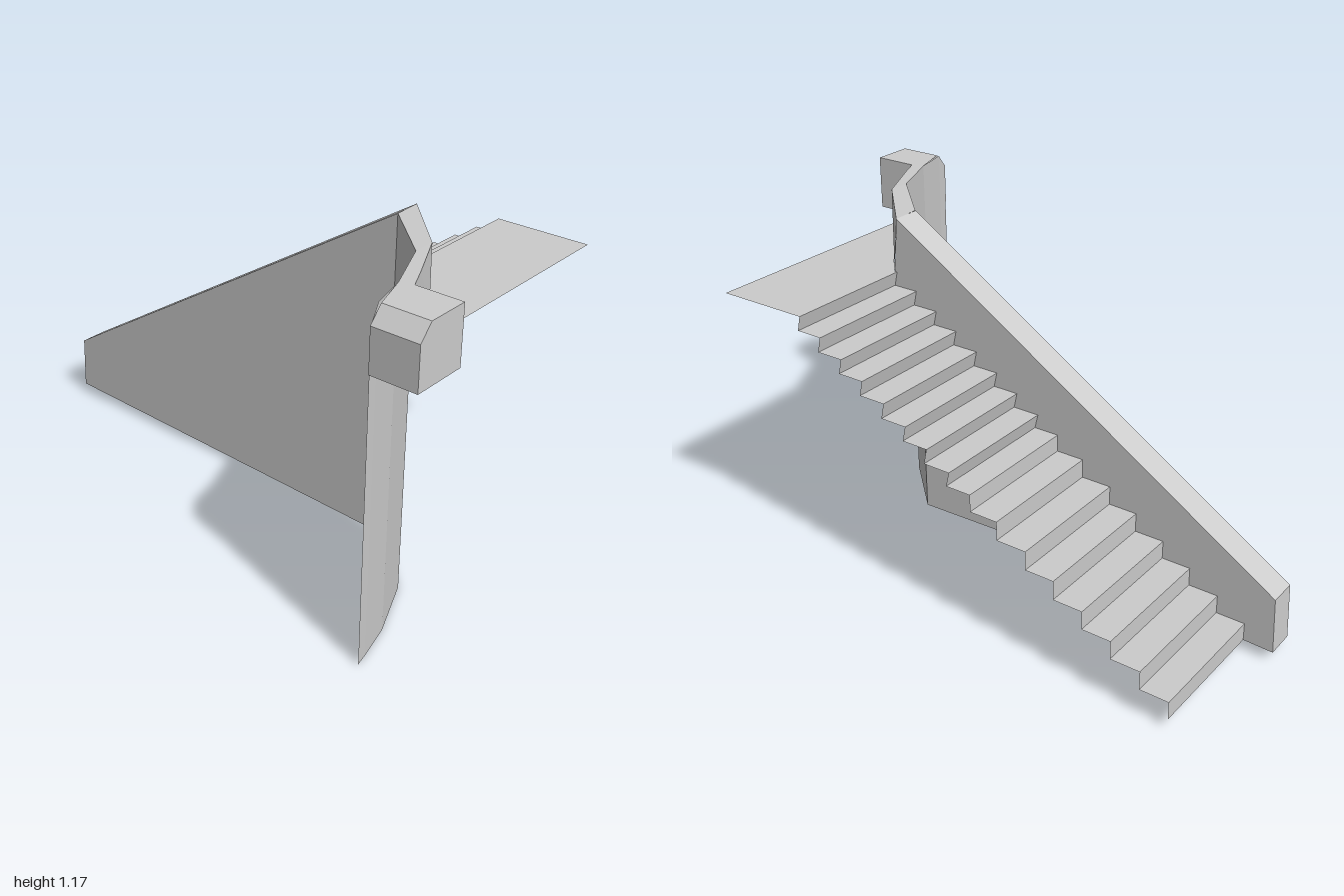
import * as THREE from 'three';

const material = new THREE.MeshStandardMaterial({
  color: 0xcccccc, flatShading: true, side: THREE.DoubleSide,
});

// Thin faceted surface between two rails of [x, y, z] points
function ribbon(name, a, b) {
  const pos = [];
  for (let i = 0; i < a.length - 1; i++) {
    pos.push(...a[i], ...b[i], ...b[i + 1], ...a[i], ...b[i + 1], ...a[i + 1]);
  }
  const geo = new THREE.BufferGeometry();
  geo.setAttribute('position', new THREE.Float32BufferAttribute(pos, 3));
  geo.computeVertexNormals();
  return named(name, geo);
}

function named(name, geo) {
  const mesh = new THREE.Mesh(geo, material);
  mesh.name = name;
  return mesh;
}

function flat(points) {
  return new THREE.ShapeGeometry(new THREE.Shape(points.map(([u, v]) => new THREE.Vector2(u, v))));
}

export function createModel() {
  const group = new THREE.Group();
  const top = 1.175, floor = 0.98, inX = 0.103, sideX = 0.575;

  // Stair profile as [z, y], from the landing down
  const levels = [0.98, 0.928, 0.875, 0.823, 0.77, 0.715, 0.662, 0.608, 0.557,
    0.497, 0.431, 0.365, 0.298, 0.234, 0.17, 0.105, 0.042];
  const risers = [0.51, 0.427, 0.342, 0.258, 0.172, 0.087, 0.004, -0.082, -0.168,
    -0.269, -0.377, -0.48, -0.585, -0.688, -0.793, -0.895];
  const profile = [];
  risers.forEach((z, i) => {
    const lean = i < 8 ? 0.006 : 0;
    profile.push([z - lean, levels[i]], [z + lean, levels[i + 1]]);
  });
  const stairRail = (x) => profile.map(([z, y]) => [x, y, z]);
  group.add(ribbon('stairs', stairRail(inX), stairRail(sideX)));

  // Landing floor, following the inside of the curved parapet
  const landing = flat([[sideX, -0.504], [sideX, -0.84], [-0.385, -0.84],
    [-0.31, -0.805], [-0.12, -0.713], [inX, -0.516], [inX, -0.504]]);
  landing.rotateX(-Math.PI / 2).translate(0, floor, 0);
  group.add(named('landing', landing));

  // Straight side wall under the stairs: one outer sheet
  const outer = flat([[0.5, 0], [0.5, top - 0.003], [-0.992, 0.235], [-1, 0.038]]);
  outer.rotateY(-Math.PI / 2);
  group.add(named('sideWall', outer));

  // Inner face of the stair balustrade, ending on the stair profile
  const inner = flat([...profile.map(([z, y]) => [-z, y]),
    [1, 0.038], [0.992, 0.235], [-0.496, top - 0.003], [-0.514, floor]]);
  inner.rotateY(Math.PI / 2).translate(inX, 0, 0);
  group.add(named('balustradeInnerFace', inner));

  // Sloping cap and end of the balustrade
  const capRail = (x) => [[x, top - 0.003, 0.498], [x, 0.235, -0.992], [x, 0.038, -1]];
  group.add(ribbon('balustradeCap', capRail(inX), capRail(0)));

  // Curved outer wall, full height
  const curve = [[0, 0.5, top - 0.003], [-0.2, 0.71, top], [-0.4, 0.797, top],
    [-0.533, 0.831, top], [-0.575, 0.84, 1.125]];
  group.add(ribbon('curvedWall',
    curve.map(([x, z, y]) => [x, y, z]), curve.map(([x, z]) => [x, 0, z])));

  // Curved parapet: inner face and top strip
  const innerTop = [[inX, top - 0.003, 0.496], [-0.12, top, 0.71],
    [-0.31, top, 0.805], [-0.385, top, 0.84]];
  const innerBase = [[inX, floor, 0.515], [-0.12, floor, 0.713],
    [-0.31, floor, 0.805], [-0.385, floor, 0.84]];
  group.add(ribbon('parapetInnerFace', innerBase, innerTop));
  const outerTop = [[0, top - 0.003, 0.5], [-0.2, top, 0.71],
    [-0.4, top, 0.797], [-0.533, top, 0.84]];
  group.add(ribbon('parapetTop', innerTop, outerTop));

  // Chamfered block ending the parapet
  const block = new THREE.ExtrudeGeometry(new THREE.Shape([
    [-0.578, floor], [-0.385, floor], [-0.385, top], [-0.533, top], [-0.578, 1.125],
  ].map(([x, y]) => new THREE.Vector2(x, y))), { depth: 0.16, bevelEnabled: false });
  block.translate(0, 0, 0.84);
  group.add(named('parapetEndBlock', block));

  return group;
}
